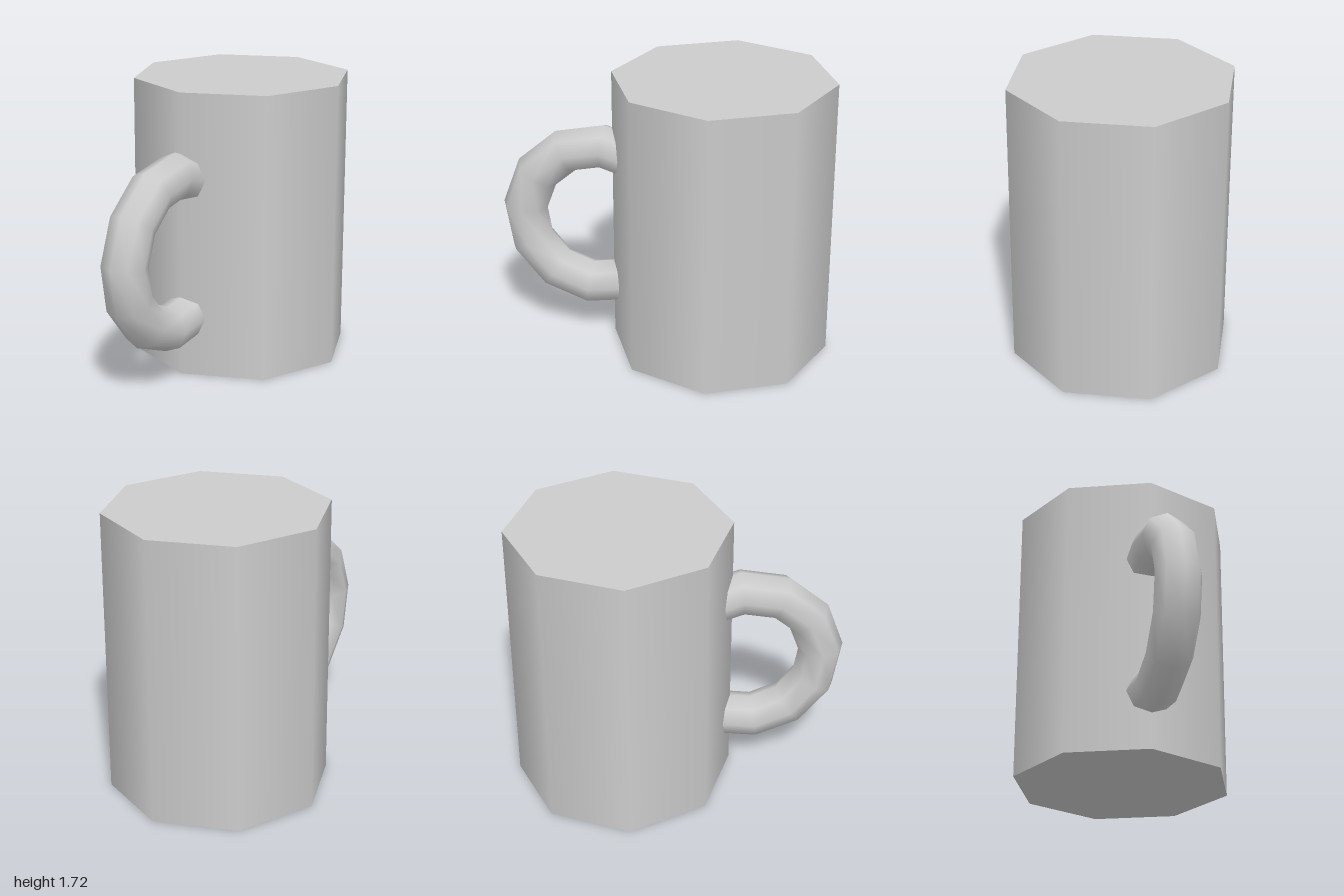
import * as THREE from 'three';

export function createModel() {
  const model = new THREE.Group();
  const material = new THREE.MeshStandardMaterial({ color: 0xcccccc });

  // Eight-sided closed body with smooth walls, a corner facing the front
  const body = new THREE.Mesh(new THREE.CylinderGeometry(0.66, 0.66, 1.72, 8), material);
  body.name = 'body';
  body.position.set(0, 0.86, -0.34);
  model.add(body);

  // Ring-shaped handle, its open ends buried in the body
  const step = THREE.MathUtils.degToRad(29.5);
  const start = THREE.MathUtils.degToRad(-112.7);
  const handle = new THREE.Mesh(new THREE.TorusGeometry(0.458, 0.136, 8, 8, step * 8), material);
  handle.name = 'handle';
  handle.rotation.set(0, -Math.PI / 2, start);
  handle.position.set(0, 0.786, 0.408);
  model.add(handle);

  return model;
}
